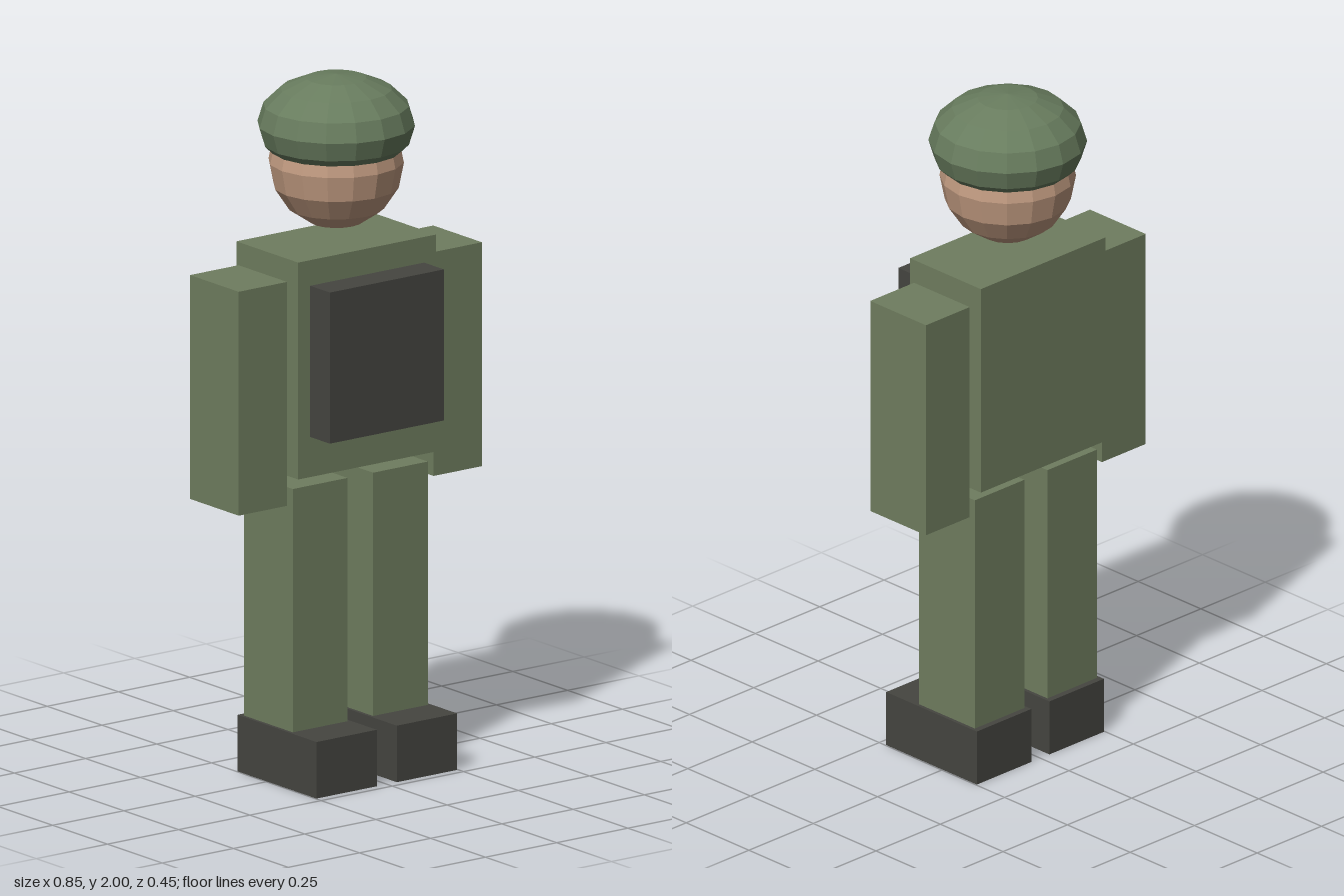
import * as THREE from 'three';

const flat = (name, color) => {
  const m = new THREE.MeshStandardMaterial({ color });
  m.name = name;
  return m;
};

export function createModel() {
  const uniform = flat('uniform green', 0x6f7d5f);
  const capGreen = flat('beret green', 0x687c5e);
  const skin = flat('skin', 0xc09a80);
  const dark = flat('dark gear', 0x454540);

  const group = new THREE.Group();
  group.name = 'soldier';

  const add = (name, geometry, material, x, y, z) => {
    const mesh = new THREE.Mesh(geometry, material);
    mesh.name = name;
    mesh.position.set(x, y, z);
    group.add(mesh);
    return mesh;
  };

  // Box given by its lower and upper corner
  const box = (name, material, [x0, y0, z0], [x1, y1, z1]) =>
    add(name, new THREE.BoxGeometry(x1 - x0, y1 - y0, z1 - z0), material,
      (x0 + x1) / 2, (y0 + y1) / 2, (z0 + z1) / 2);

  // Faceted ball with separate flat normals
  const ball = (name, material, radius, height, y) => {
    const g = new THREE.SphereGeometry(radius, 16, 8).scale(1, height / radius, 1).toNonIndexed();
    g.computeVertexNormals();
    return add(name, g, material, 0, y, -0.006);
  };

  // Body and chest gear
  box('torso', uniform, [-0.242, 0.9, -0.147], [0.242, 1.526, 0.135]);
  box('chestPouch', dark, [-0.2, 1.016, 0.1], [0.2, 1.452, 0.225]);

  // Limbs, mirrored
  for (const [side, s] of [['left', 1], ['right', -1]]) {
    const limb = (name, material, [x0, y0, z0], [x1, y1, z1]) =>
      box(side + name, material,
        [s > 0 ? x0 : -x1, y0, z0], [s > 0 ? x1 : -x0, y1, z1]);
    limb('Arm', uniform, [0.257, 0.82, -0.118], [0.427, 1.466, 0.104]);
    limb('Leg', uniform, [0.045, 0.15, -0.118], [0.237, 0.865, 0.104]);
    limb('Boot', dark, [0.035, 0, -0.136], [0.247, 0.163, 0.225]);
  }

  // Head and beret
  ball('head', skin, 0.19, 0.19, 1.75);
  ball('beret', capGreen, 0.221, 0.143, 1.857);

  return group;
}
